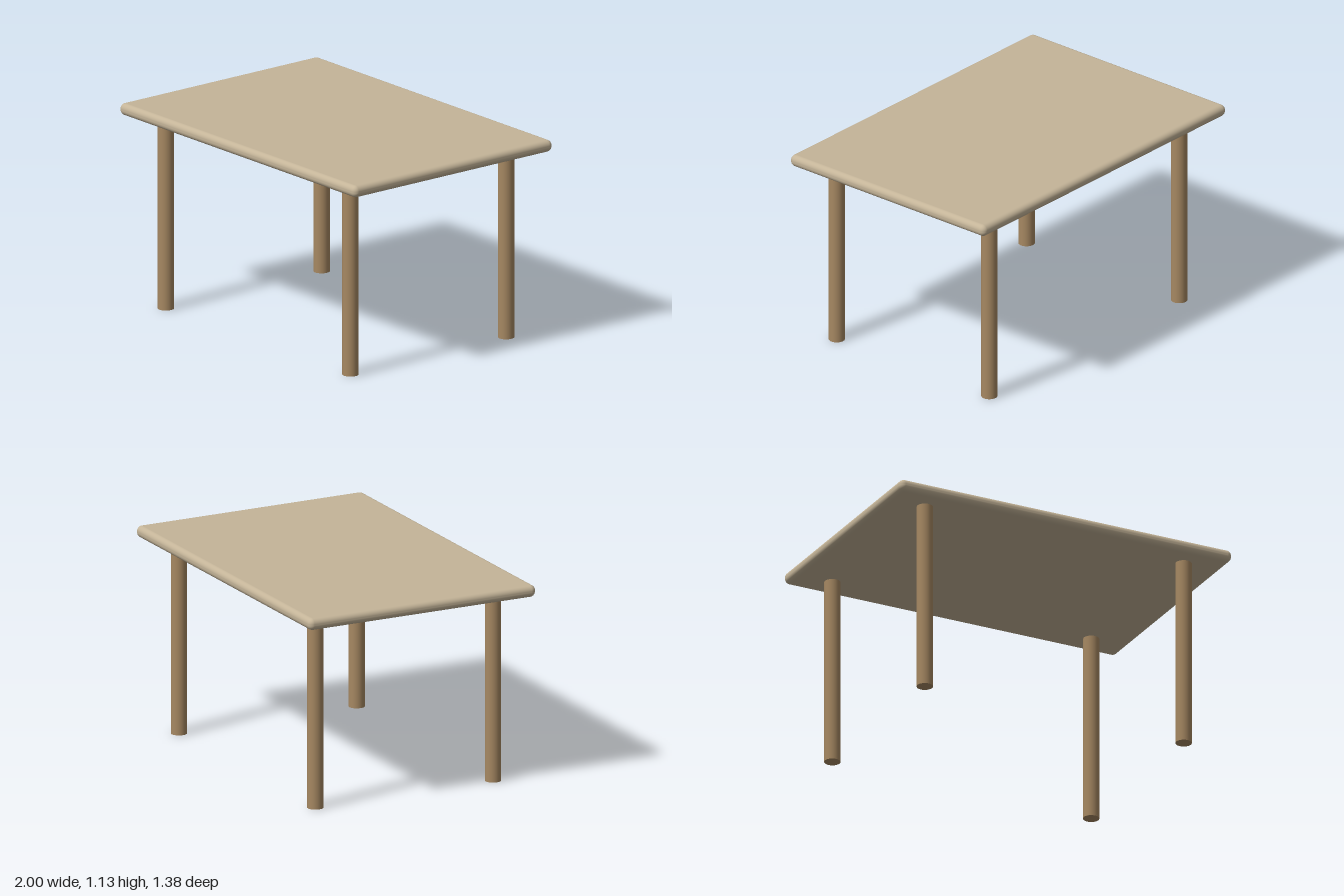
import * as THREE from 'three';
import { RoundedBoxGeometry } from 'three/addons/geometries/RoundedBoxGeometry.js';

export function createModel() {
  const table = new THREE.Group();
  table.name = 'table';

  const paleWood = new THREE.MeshStandardMaterial({ color: 0xc4b498 });
  paleWood.name = 'paleWood';
  const brownWood = new THREE.MeshStandardMaterial({ color: 0xa68862 });
  brownWood.name = 'brownWood';

  // Tabletop: thin slab with rounded edges
  const bottom = 1.06, thickness = 0.066;
  const top = new THREE.Mesh(new RoundedBoxGeometry(2, thickness, 1.375, 5, 0.03), paleWood);
  top.name = 'tabletop';
  top.position.y = bottom + thickness / 2;
  table.add(top);

  // Four round legs, mirrored about both axes
  const legGeometry = new THREE.CylinderGeometry(0.044, 0.044, bottom, 32);
  for (const [side, sx] of [['Left', 1], ['Right', -1]]) {
    for (const [end, sz] of [['front', 1], ['back', -1]]) {
      const leg = new THREE.Mesh(legGeometry, brownWood);
      leg.name = `${end}${side}Leg`;
      leg.position.set(sx * 0.78, bottom / 2, sz * 0.538);
      table.add(leg);
    }
  }
  return table;
}
